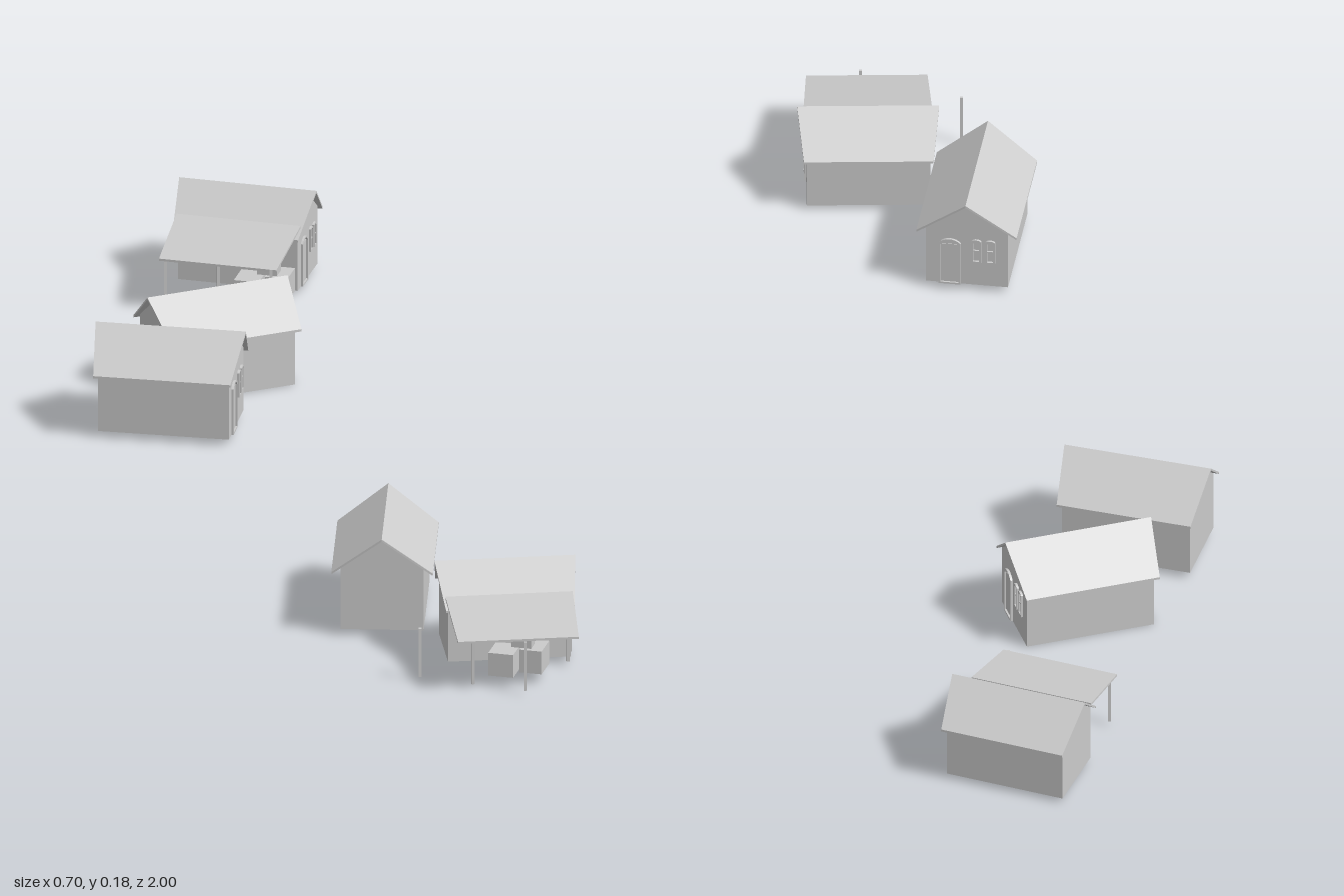
import * as THREE from 'three';

const mat = new THREE.MeshStandardMaterial({ color: 0xcccccc, flatShading: true, side: THREE.DoubleSide });

// House proportions (before scaling); the ridge runs along local x
const WALL = 0.109, DEPTH = 0.068, RIDGE = 0.165, EAVE_Y = 0.102, EAVE_Z = 0.083;

function add(parent, name, geometry, x = 0, y = 0, z = 0) {
  const mesh = new THREE.Mesh(geometry, mat);
  mesh.name = name;
  mesh.position.set(x, y, z);
  parent.add(mesh);
  return mesh;
}

// Thin sloping slab between two horizontal edges, each with its own half length
function slab(y0, z0, half0, y1, z1, half1, t = 0.004) {
  const g = new THREE.BoxGeometry(2, t, 1);
  const p = g.attributes.position;
  for (let i = 0; i < p.count; i++) {
    const k = p.getZ(i) + 0.5;
    p.setXYZ(i,
      p.getX(i) * THREE.MathUtils.lerp(half0, half1, k),
      p.getY(i) - t / 2 + THREE.MathUtils.lerp(y0, y1, k),
      THREE.MathUtils.lerp(z0, z1, k));
  }
  g.computeVertexNormals();
  return g;
}

// Outline of an opening: flat sill, with a low arched head when rise > 0
function opening(Type, w, h, rise, inset = 0) {
  const s = new Type();
  const a = w / 2 - inset, top = h - inset;
  s.moveTo(-a, inset);
  s.lineTo(a, inset);
  s.lineTo(a, top - rise);
  s.quadraticCurveTo(a * 0.6, top, 0, top);
  s.quadraticCurveTo(-a * 0.6, top, -a, top - rise);
  s.closePath();
  return s;
}

function frame(w, h, rise) {
  const s = opening(THREE.Shape, w, h, rise);
  s.holes.push(opening(THREE.Path, w, h, rise, 0.003));
  const g = new THREE.ExtrudeGeometry(s, { depth: 0.004, bevelEnabled: false, curveSegments: 4 });
  return g.rotateY(Math.PI / 2);
}

function house(name, x, y, z, angle, scale, porch) {
  const g = new THREE.Group();
  g.name = name;

  // Walls with both gables
  const top = RIDGE - 0.005, side = top - DEPTH * (RIDGE - EAVE_Y) / EAVE_Z;
  const s = new THREE.Shape([[-DEPTH, 0], [DEPTH, 0], [DEPTH, side], [0, top], [-DEPTH, side]]
    .map(([a, b]) => new THREE.Vector2(a, b)));
  const walls = new THREE.ExtrudeGeometry(s, { depth: WALL * 2, bevelEnabled: false });
  walls.translate(0, 0, -WALL).rotateY(Math.PI / 2);
  add(g, 'walls', walls);

  // Roof slopes, longer at the ridge than at the eaves
  for (const d of [1, -1]) {
    const slope = slab(RIDGE, 0, 0.125, EAVE_Y, EAVE_Z, 0.114);
    if (d < 0) slope.rotateY(Math.PI);
    add(g, d > 0 ? 'frontRoof' : 'backRoof', slope);
  }
  if (porch) add(g, 'porchRoof', slab(0.121, 0.062, 0.113, 0.091, 0.204, 0.107));

  // Door and a pair of tall windows on the gable
  add(g, 'doorFrame', frame(0.036, 0.088, 0.008), WALL, 0, 0.028);
  add(g, 'door', new THREE.BoxGeometry(0.002, 0.076, 0.03), WALL, 0.039, 0.028);
  for (const wz of [-0.016, -0.039]) {
    add(g, 'windowFrame', frame(0.016, 0.045, 0.003), WALL, 0.045, wz);
    add(g, 'windowBar', new THREE.BoxGeometry(0.004, 0.002, 0.014), WALL + 0.001, 0.068, wz);
  }

  g.position.set(x, y, z);
  g.rotation.y = angle;
  g.scale.setScalar(scale);
  return g;
}

// Porch posts and the crates standing below the roof
function porchSet(x, z) {
  const g = new THREE.Group();
  g.name = 'porchSet';
  for (const [px, pz] of [[-0.083, -0.04], [0, 0], [0.083, 0.037]])
    add(g, 'post', new THREE.BoxGeometry(0.005, 0.085, 0.005), px, 0.0525, pz);
  const crates = [
    [0.055, 0.038, -0.03, 0.042, 0.04, 0.05],
    [0.105, 0.038, -0.04, 0.038, 0.04, 0.05],
    [0.087, 0.076, -0.042, 0.034, 0.036, 0.026],
  ];
  for (const [cx, cy, cz, w, h, d] of crates)
    add(g, 'crate', new THREE.BoxGeometry(w, h, d), cx, cy, cz).rotation.y = -0.35;
  g.position.set(x, 0, z);
  return g;
}

export function createModel() {
  const model = new THREE.Group();
  model.name = 'village';
  model.add(
    house('backPorchHouse', -0.03, 0.01, -0.893, -0.36, 0.93, true),
    house('middleHouse', -0.124, 0.002, -0.438, 0.31, 1, false),
    house('sideHouse', -0.22, 0.013, -0.241, -0.276, 1, false),
    house('nearHouse', 0.05, 0.013, 0.607, 1.43, 1, false),
    house('frontPorchHouse', 0.229, 0.01, 0.794, 0.02, 0.93, true),
    porchSet(-0.095, -0.722),
    porchSet(0.16, 0.96),
  );
  // Extra post beside the front porch
  add(model, 'sidePost', new THREE.BoxGeometry(0.006, 0.09, 0.006), 0.325, 0.055, 0.875);
  return model;
}
